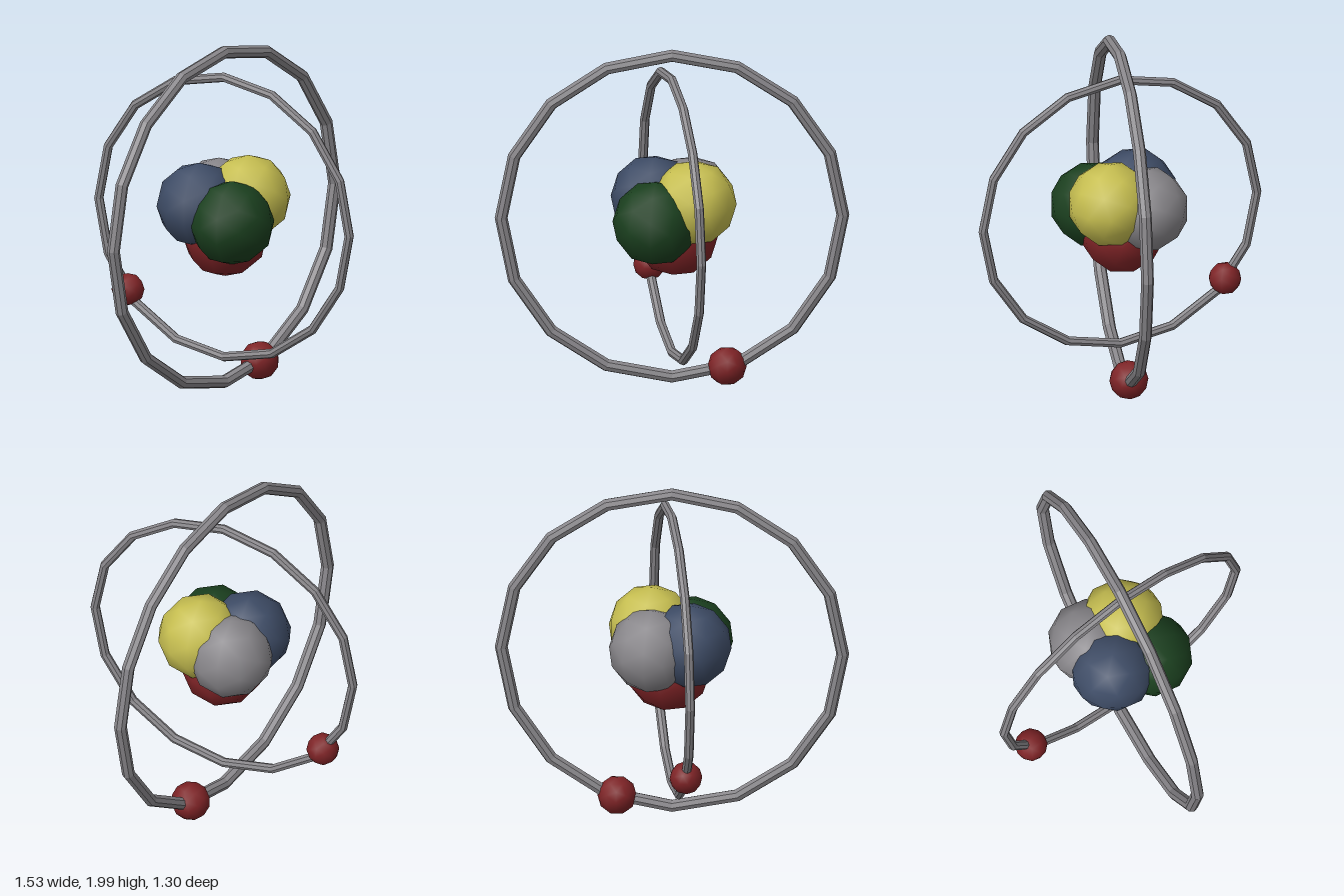
import * as THREE from 'three';

const material = (name, color) => {
  const m = new THREE.MeshStandardMaterial({ color });
  m.name = name;
  return m;
};

function addMesh(parent, name, geometry, mat, x = 0, y = 0, z = 0) {
  const mesh = new THREE.Mesh(geometry, mat);
  mesh.name = name;
  mesh.position.set(x, y, z);
  parent.add(mesh);
  return mesh;
}

// Low-poly ball with softly shaded faces
const ball = (radius) => new THREE.IcosahedronGeometry(radius, 1);

// Sixteen-sided ring with hard facets
function ring(radius, tube) {
  const g = new THREE.TorusGeometry(radius, tube, 8, 16).toNonIndexed();
  g.computeVertexNormals();
  return g;
}

export function createModel() {
  const grey = material('grey', 0x88868a);
  const red = material('red', 0x7e2326);
  const green = material('green', 0x1b401f);
  const blue = material('blue', 0x3e4c66);
  const yellow = material('yellow', 0xc6be50);

  const model = new THREE.Group();
  model.name = 'atom';
  const centreY = 1.013;

  // Nucleus: five overlapping balls
  const nucleus = new THREE.Group();
  nucleus.name = 'nucleus';
  model.add(nucleus);
  [
    ['frontNucleon', green, 0.015, 1.025, 0.17],
    ['backNucleon', grey, 0, 1.07, -0.17],
    ['rightNucleon', blue, -0.14, 1.09, -0.01],
    ['leftNucleon', yellow, 0.14, 1.12, -0.02],
    ['bottomNucleon', red, 0.01, 0.907, -0.02],
  ].forEach(([name, mat, x, y, z]) => addMesh(nucleus, name, ball(0.24), mat, x, y, z));

  // Orbits: an upright ring carrying one electron, turned about the vertical axis
  [
    { name: 'outerOrbit', radius: 0.953, tube: 0.036, turn: 40, electron: [0.307, -0.893], size: 0.11 },
    { name: 'innerOrbit', radius: 0.808, tube: 0.027, turn: -40, electron: [-0.62, -0.503], size: 0.092 },
  ].forEach((o) => {
    const orbit = new THREE.Group();
    orbit.name = o.name;
    orbit.position.y = centreY;
    orbit.rotation.y = THREE.MathUtils.degToRad(o.turn);
    addMesh(orbit, o.name + 'Ring', ring(o.radius, o.tube), grey);
    addMesh(orbit, o.name + 'Electron', ball(o.size), red, ...o.electron, 0);
    model.add(orbit);
  });

  return model;
}
